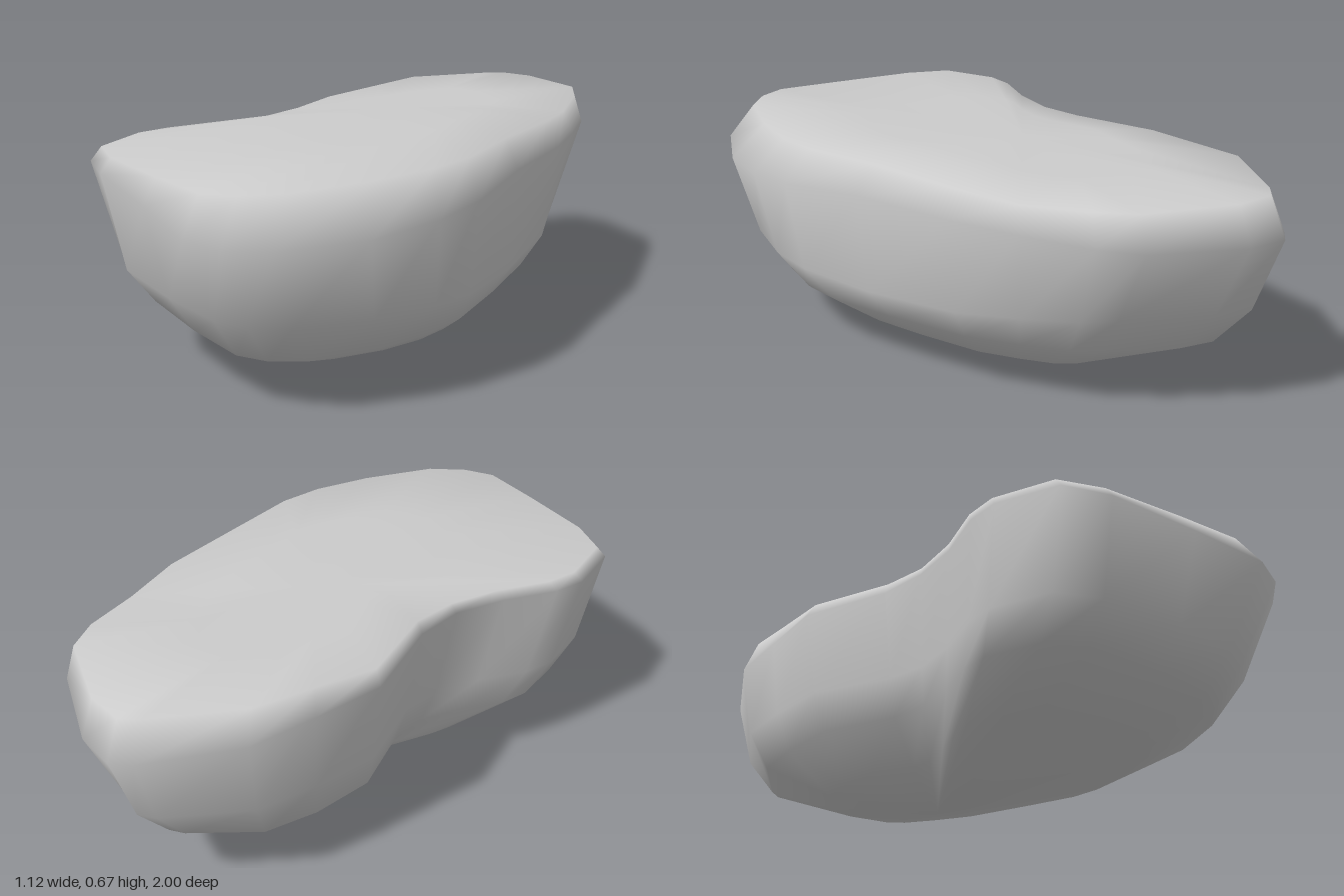
import * as THREE from 'three';

// Widest outline of the boulder as [x, z], clockwise seen from above
const OUTLINE = [
  [0.11, -1], [0.23, -0.96], [0.45, -0.78], [0.5, -0.66], [0.535, -0.45], [0.56, -0.23],
  [0.545, 0.1], [0.54, 0.39], [0.5, 0.56], [0.4, 0.76], [0.23, 0.95], [0.11, 1],
  [0, 1], [-0.2, 0.88], [-0.44, 0.74], [-0.55, 0.64], [-0.56, 0.44], [-0.52, 0.34],
  [-0.41, 0.2], [-0.33, 0.05], [-0.3, -0.1], [-0.33, -0.38], [-0.25, -0.58], [-0.17, -0.77], [0.05, -0.97],
];

// Lowest point, about which every ring shrinks
const CX = 0.06, CZ = -0.13;

// Rings from top to bottom: [scale, height] in eight directions,
// +x, front +x, front, front -x, -x, back -x, back, back +x
const RINGS = [
  [[0.5, 0.675], [0.5, 0.667], [0.5, 0.66], [0.5, 0.66], [0.5, 0.672], [0.5, 0.678], [0.5, 0.678], [0.5, 0.675]],
  [[0.91, 0.658], [0.87, 0.645], [0.93, 0.635], [0.97, 0.635], [0.96, 0.645], [0.93, 0.665], [0.94, 0.665], [0.96, 0.67]],
  [[1, 0.58], [1, 0.52], [1, 0.52], [1, 0.59], [1, 0.615], [1, 0.58], [1, 0.55], [1, 0.57]],
  [[0.96, 0.27], [0.92, 0.28], [0.885, 0.28], [0.95, 0.3], [0.87, 0.33], [0.95, 0.33], [0.92, 0.33], [0.82, 0.33]],
  [[0.83, 0.18], [0.81, 0.16], [0.8, 0.15], [0.87, 0.19], [0.77, 0.22], [0.87, 0.2], [0.79, 0.2], [0.7, 0.2]],
  [[0.66, 0.1], [0.6, 0.08], [0.59, 0.068], [0.64, 0.105], [0.42, 0.1], [0.55, 0.085], [0.46, 0.09], [0.5, 0.09]],
];

// Slight hollow across the top, toward the back
const hollow = (z) => 0.02 * Math.exp(-(((z + 0.42) / 0.2) ** 2));

function ringPoint(ring, [x, z], level) {
  const turn = (Math.atan2(z, (x - CX) / 0.52) / (Math.PI / 4) + 8) % 8;
  const k = Math.floor(turn);
  const blend = (item) => THREE.MathUtils.lerp(ring[k][item], ring[(k + 1) % 8][item], turn - k);
  const scale = blend(0), y = blend(1);
  const pz = CZ + (z - CZ) * scale;
  return [CX + (x - CX) * scale, level < 2 ? y - hollow(pz) : y, pz];
}

function boulderGeometry() {
  const n = OUTLINE.length, positions = [], index = [];
  RINGS.forEach((ring, level) => OUTLINE.forEach((p) => positions.push(...ringPoint(ring, p, level))));
  const top = n * RINGS.length, bottom = top + 1;
  positions.push(CX, 0.672, CZ, CX, 0, CZ);

  for (let i = 0; i < n; i++) {
    const j = (i + 1) % n;
    index.push(top, j, i);
    for (let r = 0; r < RINGS.length - 1; r++) {
      const a = r * n + i, b = r * n + j, c = a + n, d = b + n;
      index.push(a, b, d, a, d, c);
    }
    const last = (RINGS.length - 1) * n;
    index.push(bottom, last + i, last + j);
  }

  const geometry = new THREE.BufferGeometry();
  geometry.setAttribute('position', new THREE.Float32BufferAttribute(positions, 3));
  geometry.setIndex(index);
  geometry.computeVertexNormals();
  return geometry;
}

export function createModel() {
  const group = new THREE.Group();
  group.name = 'rock';
  const boulder = new THREE.Mesh(boulderGeometry(), new THREE.MeshStandardMaterial({ color: 0xcccccc }));
  boulder.name = 'boulder';
  group.add(boulder);
  return group;
}
